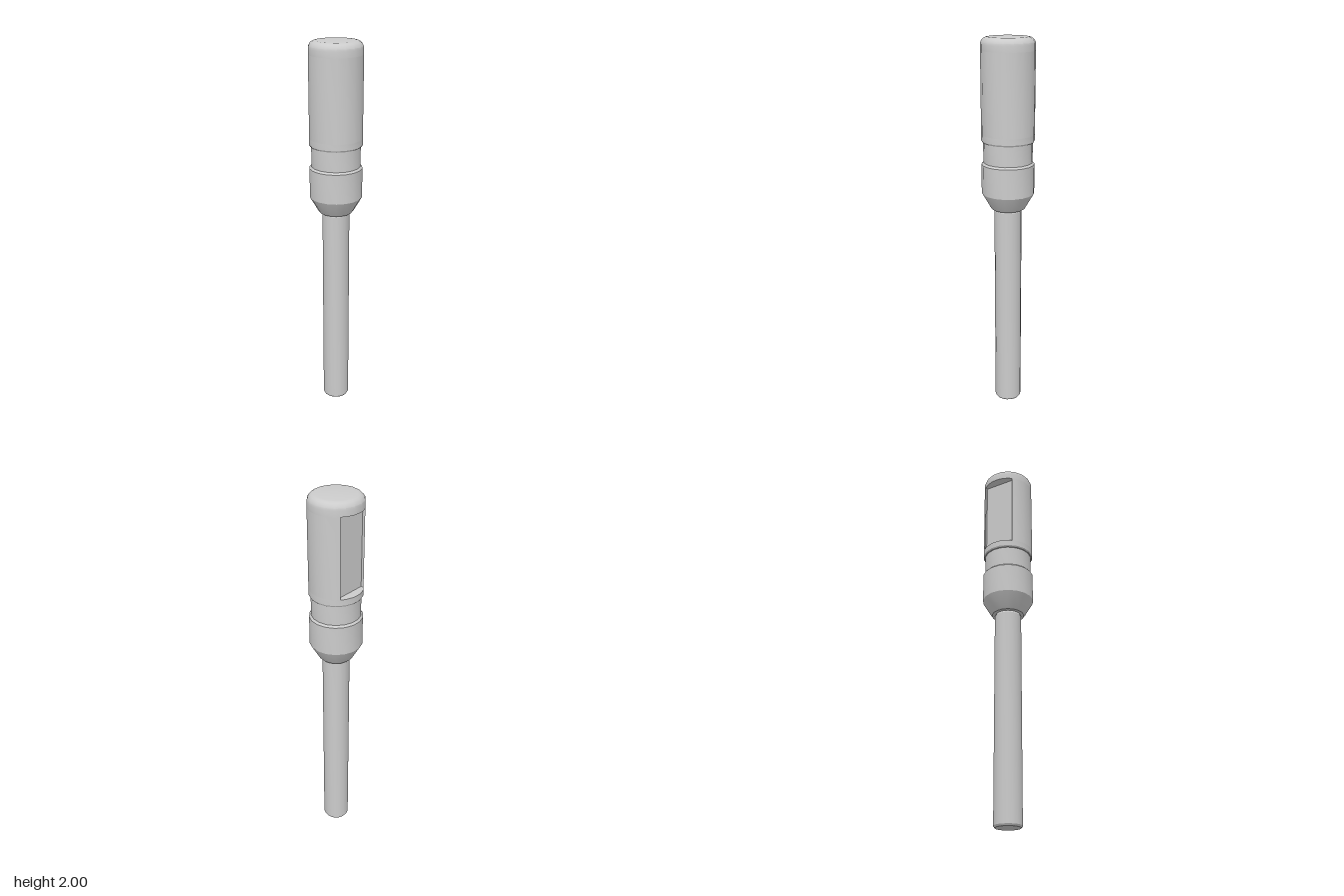
import * as THREE from 'three';
import { toCreasedNormals } from 'three/addons/utils/BufferGeometryUtils.js';

const SIDES = 18;
const R = 0.137;
const WINDOW_BOTTOM = 1.52;
const WINDOW_TOP = 1.935;
const CREASE = 0.45;
const rad = THREE.MathUtils.degToRad;

export function createModel() {
  const group = new THREE.Group();
  const material = new THREE.MeshStandardMaterial({ color: 0xcccccc });

  const add = (name, geometry) => {
    const mesh = new THREE.Mesh(toCreasedNormals(geometry, CREASE), material);
    mesh.name = name;
    group.add(mesh);
  };

  // Turned part from [radius, height] pairs, listed bottom to top
  const turned = (name, profile) => {
    const points = profile.map(([r, y]) => new THREE.Vector2(r, y));
    add(name, new THREE.LatheGeometry(points, SIDES, Math.PI / 2));
  };

  // Long straight shaft with small bevels
  turned('shaft', [
    [0, 0], [0.065, 0], [0.0715, 0.01], [0.0715, 1.115], [0.067, 1.122], [0.067, 1.14], [0, 1.14],
  ]);

  // Tapered collar, narrow neck and the lower rim of the handle
  turned('collarAndNeck', [
    [0, 1.125], [0.086, 1.125], [0.092, 1.132], [R, 1.21], [R, 1.365], [0.127, 1.375],
    [0.127, 1.48], [0.132, 1.48], [R, 1.488], [R, WINDOW_BOTTOM], [0, WINDOW_BOTTOM],
  ]);

  // Handle body with a flat recess cut in the back; angles run from -z towards +x
  const at = (deg, r) => new THREE.Vector2(r * Math.sin(rad(deg)), r * Math.cos(rad(deg)));
  const flatR = R * Math.cos(Math.PI / SIDES);
  const recessFrom = 20, recessTo = -60, floorDistance = 0.088;
  const middle = (recessFrom + recessTo) / 2;
  const halfWidth = flatR * Math.sin(rad((recessFrom - recessTo) / 2));
  const floorPoint = (side) => at(middle, floorDistance).add(at(middle + 90, side * halfWidth));

  const outline = [at(recessFrom, flatR)];
  for (let deg = 30; deg <= 290; deg += 360 / SIDES) outline.push(at(deg, R));
  outline.push(at(recessTo, flatR), floorPoint(-1), floorPoint(1));

  const body = new THREE.ExtrudeGeometry(new THREE.Shape(outline), {
    depth: WINDOW_TOP - WINDOW_BOTTOM, bevelEnabled: false,
  });
  body.rotateX(-Math.PI / 2);
  body.translate(0, WINDOW_BOTTOM, 0);
  add('recessedHandle', body);

  // Rounded handle cap
  const round = 0.036;
  const cap = [[0, WINDOW_TOP], [R, WINDOW_TOP]];
  for (let i = 0; i <= 5; i++) {
    const a = (i / 5) * Math.PI / 2;
    cap.push([R - round + round * Math.cos(a), 2 - round + round * Math.sin(a)]);
  }
  cap.push([0, 2]);
  turned('handleCap', cap);

  return group;
}
